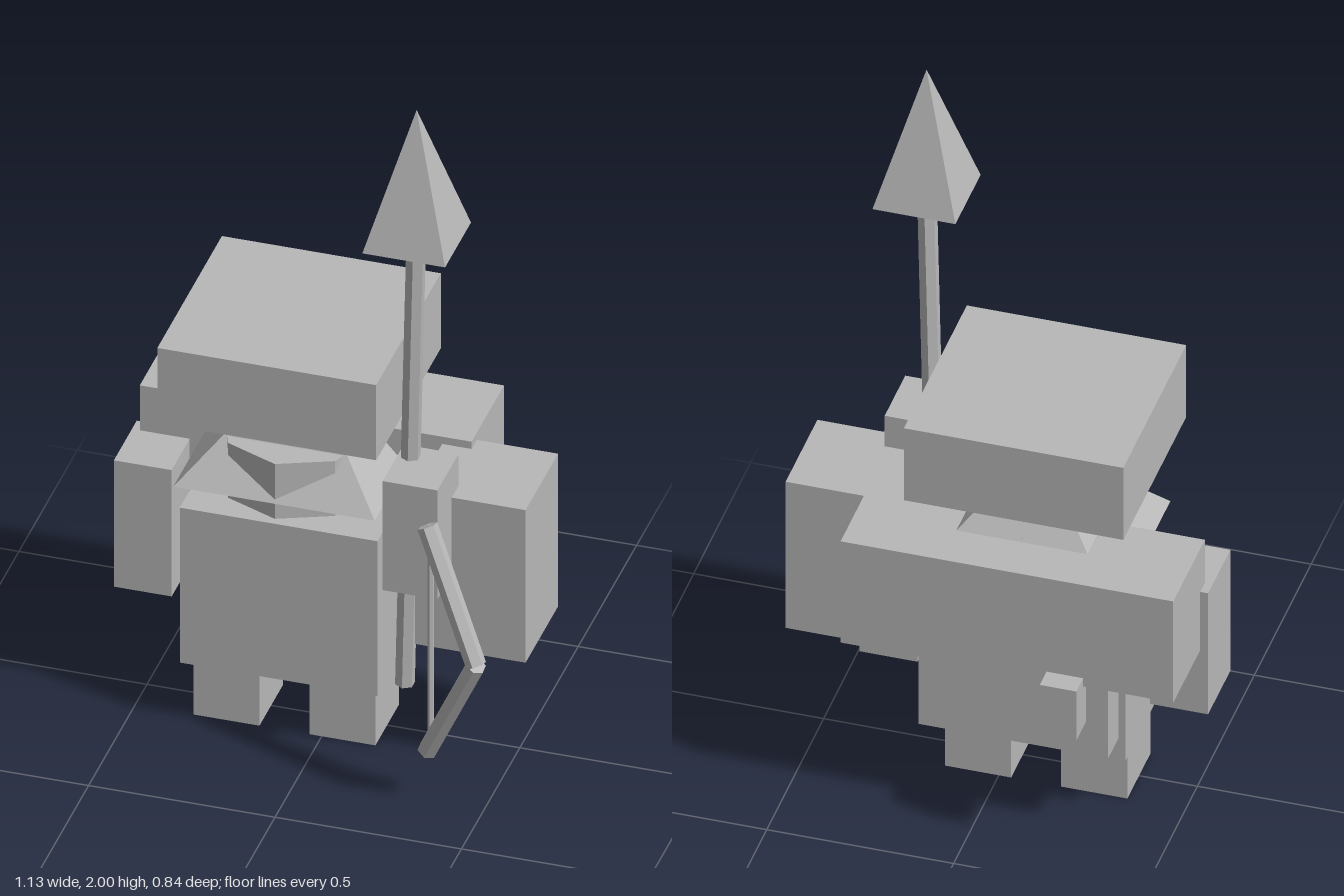
import * as THREE from 'three';

export function createModel() {
  const model = new THREE.Group();
  const grey = new THREE.MeshStandardMaterial({ color: 0xb8b8b8, flatShading: true });
  grey.name = 'stone grey';

  const add = (name, geometry) => {
    const mesh = new THREE.Mesh(geometry, grey);
    mesh.name = name;
    model.add(mesh);
    return mesh;
  };

  // Box given by its limits on each axis
  const box = (name, [x0, x1], [y0, y1], [z0, z1]) =>
    add(name, new THREE.BoxGeometry(x1 - x0, y1 - y0, z1 - z0))
      .position.set((x0 + x1) / 2, (y0 + y1) / 2, (z0 + z1) / 2);

  // Square pyramid with axis-aligned base
  const pyramid = (name, x, z, y0, y1, halfX, halfZ) => {
    const g = new THREE.CylinderGeometry(0, Math.SQRT2, y1 - y0, 4, 1, false, Math.PI / 4);
    g.scale(halfX, 1, halfZ);
    add(name, g).position.set(x, (y0 + y1) / 2, z);
  };

  // Six-sided rod between two points
  const rod = (name, from, to, radius) => {
    const a = new THREE.Vector3(...from), b = new THREE.Vector3(...to);
    const mesh = add(name, new THREE.CylinderGeometry(radius, radius, a.distanceTo(b), 6));
    mesh.position.copy(a).lerp(b, 0.5);
    mesh.quaternion.setFromUnitVectors(new THREE.Vector3(0, 1, 0), b.sub(a).normalize());
  };

  // Body, legs and arms, mirrored about the body's centre line
  const cx = -0.1;
  box('torso', [-0.365, 0.165], [0.185, 0.657], [-0.19, 0.15]);
  for (const [side, s] of [['left', 1], ['right', -1]]) {
    const span = (a, b) => (s > 0 ? [cx + a, cx + b] : [cx - b, cx - a]);
    box(side + 'Leg', span(0.067, 0.244), [0, 0.187], [-0.103, 0.1]);
    box(side + 'Arm', span(0.311, 0.466), [0.33, 0.715], [-0.123, 0.073]);
  }

  // Head, hood and hat
  const head = add('head', new THREE.CylinderGeometry(0.203, 0.203, 0.167, 8));
  head.position.set(cx, 0.778, -0.02);
  pyramid('hood', cx, -0.064, 0.745, 1.05, 0.27, 0.254);
  box('hat', [-0.393, 0.194], [0.973, 1.202], [-0.3, 0.253]);

  // Packs on the back
  box('bedroll', [-0.545, 0.345], [0.53, 0.852], [-0.36, -0.082]);
  box('backpack', [-0.347, 0.161], [0.255, 0.535], [-0.281, -0.185]);
  box('pouch', [-0.304, -0.206], [0.4, 0.556], [-0.42, -0.334]);

  // Large outer block and raised hand
  box('shield', [0.266, 0.563], [0.365, 0.83], [-0.127, 0.152]);
  box('hand', [0.218, 0.365], [0.595, 0.927], [0.093, 0.274]);

  // Spear
  rod('spearShaft', [0.228, 0.216, 0.115], [0.274, 1.62, 0.165], 0.026);
  pyramid('spearHead', 0.274, 0.162, 1.61, 2, 0.111, 0.111);

  // Bow
  const top = [0.347, 0.834, 0.304], grip = [0.505, 0.493, 0.391], bottom = [0.347, 0.15, 0.304];
  rod('upperBowLimb', grip, top, 0.027);
  rod('lowerBowLimb', grip, bottom, 0.027);
  rod('bowString', [0.355, 0.15, 0.3], [0.355, 0.834, 0.3], 0.009);

  return model;
}
